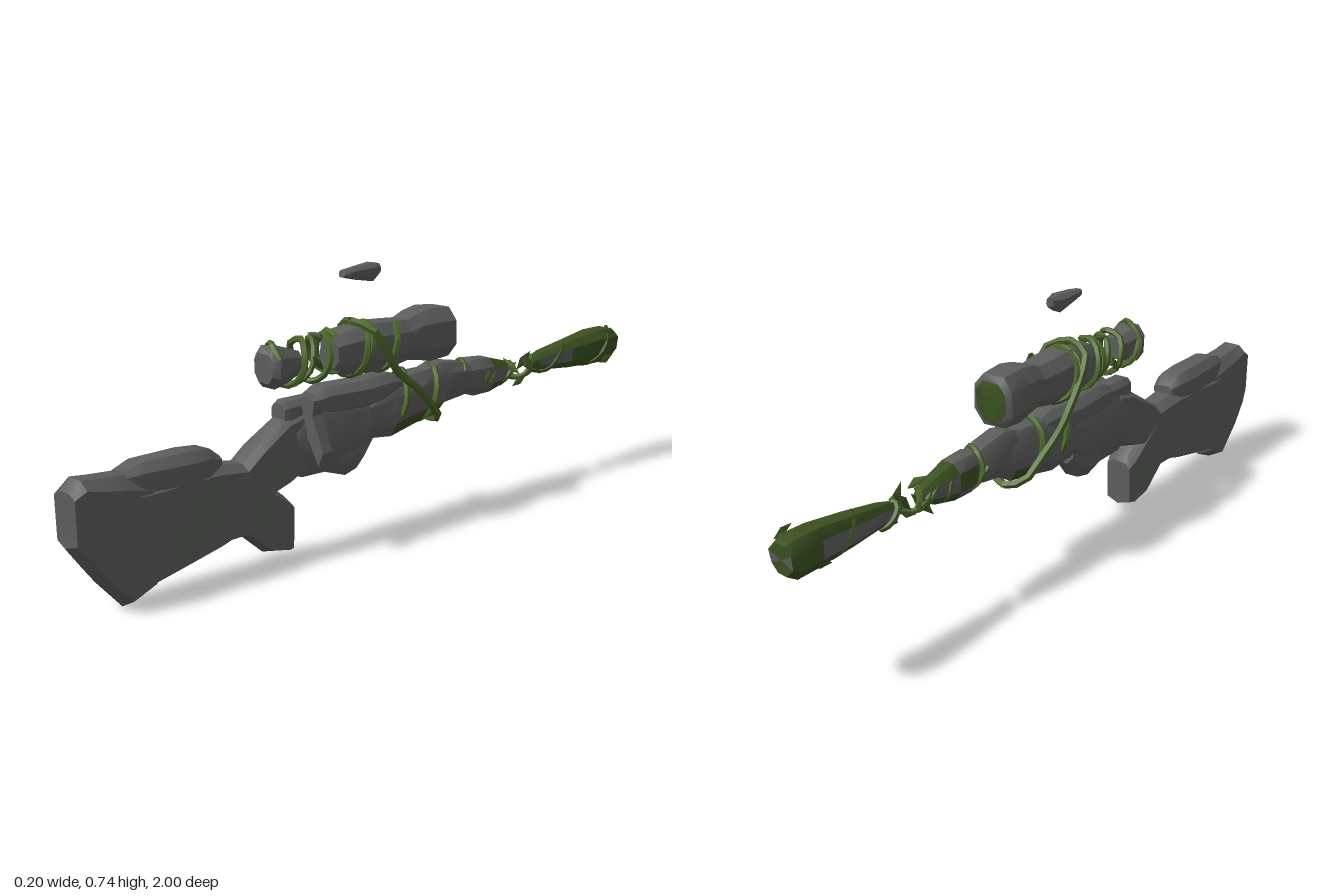
import * as THREE from 'three';
import { toCreasedNormals } from 'three/addons/utils/BufferGeometryUtils.js';

const CX = -0.013; // the weapon's own centre line

// cross-section outlines, counter-clockwise seen from the rear (+z)
const ROCK = [[0.5, -1], [1, -0.45], [1, 0.5], [0.55, 1], [-0.55, 1], [-1, 0.5], [-1, -0.45], [-0.5, -1]];
const SLAB = [[0, -1], [1, -0.84], [1, 0.8], [0.5, 1], [-0.5, 1], [-1, 0.8], [-1, -0.84]];

export function createModel() {
  const model = new THREE.Group();
  const stone = new THREE.MeshStandardMaterial({ color: 0x5c5e5c });
  const vine = new THREE.MeshStandardMaterial({ color: 0x4a6628 });
  const moss = new THREE.MeshStandardMaterial({ color: 0x3a5120 });
  stone.name = 'stone';
  vine.name = 'vine';
  moss.name = 'moss';

  let seed = 7;
  const rand = () => (seed = (seed * 16807) % 2147483647) / 2147483647;

  const add = (name, geo, mat) => {
    const mesh = new THREE.Mesh(geo, mat);
    mesh.name = name;
    model.add(mesh);
    return mesh;
  };

  // loft along z: sections are [z, bottom, top, halfWidth], from +z to -z.
  // mossy(section, side) picks faces overgrown with moss; section -1 is the muzzle-side cap.
  const loft = (name, sections, profile = ROCK, mossy = () => false, jitter = 0.004) => {
    const rings = sections.map(([z, y0, y1, w]) => profile.map(([px, py]) => [
      CX + px * w + (rand() - 0.5) * jitter,
      (y0 + y1) / 2 + py * (y1 - y0) / 2,
      z + (rand() - 0.5) * jitter * 2,
    ]));
    const parts = [[], []];
    const n = profile.length;
    const centre = ([z, y0, y1]) => [CX, (y0 + y1) / 2, z];
    const first = rings[0], last = rings[rings.length - 1];
    const c0 = centre(sections[0]), c1 = centre(sections[sections.length - 1]);
    for (let i = 0; i < n; i++) {
      const j = (i + 1) % n;
      parts[0].push(...c0, ...first[i], ...first[j]);
      parts[mossy(-1, i) ? 1 : 0].push(...c1, ...last[j], ...last[i]);
      for (let k = 0; k < rings.length - 1; k++) {
        const a = rings[k], b = rings[k + 1];
        parts[mossy(k, i) ? 1 : 0].push(...a[i], ...b[i], ...b[j], ...a[i], ...b[j], ...a[j]);
      }
    }
    const geo = new THREE.BufferGeometry();
    geo.setAttribute('position', new THREE.Float32BufferAttribute([...parts[0], ...parts[1]], 3));
    geo.addGroup(0, parts[0].length / 3, 0);
    geo.addGroup(parts[0].length / 3, parts[1].length / 3, 1);
    return add(name, toCreasedNormals(geo, 0.6), [stone, moss]);
  };

  // ---- stock and grip
  loft('buttEnd', [[0.995, 0.19, 0.325, 0.042], [0.965, 0.15, 0.35, 0.048], [0.92, 0.09, 0.345, 0.05],
    [0.85, 0.01, 0.34, 0.05], [0.78, 0.04, 0.32, 0.048]], SLAB);
  loft('stock', [[0.88, 0.07, 0.32, 0.046], [0.8, 0.04, 0.31, 0.049], [0.7, 0.065, 0.31, 0.05], [0.58, 0.09, 0.31, 0.048],
    [0.49, 0.12, 0.295, 0.046], [0.43, 0.19, 0.335, 0.044], [0.35, 0.21, 0.385, 0.042], [0.29, 0.24, 0.4, 0.04]], SLAB);
  loft('cheekRest', [[0.85, 0.29, 0.345, 0.03], [0.8, 0.27, 0.36, 0.045], [0.66, 0.255, 0.36, 0.05],
    [0.6, 0.27, 0.355, 0.044], [0.565, 0.3, 0.33, 0.03]]);
  loft('grip', [[0.56, 0.1, 0.29, 0.044], [0.49, 0.105, 0.28, 0.047], [0.42, 0.043, 0.23, 0.047],
    [0.36, 0.032, 0.185, 0.044], [0.34, 0.035, 0.165, 0.04]], SLAB);

  // ---- receiver
  loft('receiver', [[0.33, 0.24, 0.38, 0.04], [0.3, 0.22, 0.4, 0.048], [0.2, 0.22, 0.41, 0.05], [0.1, 0.24, 0.41, 0.05],
    [0.04, 0.29, 0.4, 0.044]]);
  loft('magazine', [[0.21, 0.215, 0.31, 0.036], [0.15, 0.195, 0.32, 0.042], [0.1, 0.205, 0.33, 0.042], [0.06, 0.26, 0.33, 0.036]]);
  loft('receiverTop', [[0.25, 0.37, 0.43, 0.036], [0.21, 0.36, 0.445, 0.046], [0.08, 0.36, 0.44, 0.05], [-0.02, 0.36, 0.445, 0.044],
    [-0.06, 0.37, 0.43, 0.036]]);

  // ---- bolt and its bent handle
  loft('bolt', [[0.355, 0.37, 0.42, 0.026], [0.34, 0.363, 0.427, 0.032], [0.26, 0.363, 0.427, 0.032], [0.2, 0.37, 0.42, 0.03]], ROCK, undefined, 0);
  const handle = new THREE.Shape([[-0.01, 0.41], [0.03, 0.345], [0.078, 0.262], [0.096, 0.3], [0.057, 0.39], [0.064, 0.43], [0.04, 0.437]]
    .map(([x, y]) => new THREE.Vector2(x, y)));
  const handleGeo = new THREE.ExtrudeGeometry(handle, { depth: 0.032, bevelEnabled: false });
  add('boltHandle', handleGeo.translate(0, 0, 0.27), stone);

  // ---- fore-end and barrel, mossy underneath and further along
  loft('foreEnd', [[0.11, 0.31, 0.37, 0.035], [0.07, 0.28, 0.4, 0.048], [-0.02, 0.27, 0.42, 0.052], [-0.12, 0.29, 0.43, 0.05],
    [-0.2, 0.3, 0.43, 0.045], [-0.24, 0.33, 0.41, 0.034]], ROCK, (k, i) => k > 1 && k < 4 && (i === 7 || i === 0 || (i === 6 && k === 3)));
  loft('barrelRear', [[-0.16, 0.33, 0.43, 0.036], [-0.22, 0.325, 0.445, 0.042], [-0.31, 0.335, 0.43, 0.04], [-0.36, 0.345, 0.41, 0.03]]);
  loft('barrelMiddle', [[-0.31, 0.35, 0.415, 0.03], [-0.35, 0.325, 0.43, 0.04], [-0.42, 0.325, 0.425, 0.038], [-0.49, 0.34, 0.405, 0.028],
    [-0.54, 0.36, 0.385, 0.012]], ROCK, (k, i) => k > 1 ? i % 4 !== 1 : k === 1 && i === 5);
  loft('muzzle', [[-0.6, 0.365, 0.385, 0.012], [-0.67, 0.35, 0.405, 0.026], [-0.78, 0.34, 0.42, 0.034], [-0.9, 0.335, 0.435, 0.04],
    [-0.97, 0.335, 0.435, 0.042], [-0.995, 0.35, 0.425, 0.034]], ROCK,
    (k, i) => !(k < 2 && (i === 5 || i === 1)) && !(k === 2 && i === 5));

  // ---- scope, eyepiece and the loose stone above them
  loft('scopeBody', [[0.18, 0.485, 0.565, 0.036], [0.15, 0.465, 0.58, 0.05], [0.06, 0.46, 0.59, 0.056], [-0.02, 0.46, 0.585, 0.054],
    [-0.09, 0.47, 0.58, 0.048]]);
  loft('scopeFront', [[-0.05, 0.475, 0.57, 0.044], [-0.12, 0.465, 0.595, 0.054], [-0.17, 0.455, 0.602, 0.06], [-0.235, 0.46, 0.597, 0.06],
    [-0.245, 0.475, 0.58, 0.048]], ROCK, (k) => k === -1);
  loft('eyepiece', [[0.4, 0.48, 0.555, 0.036], [0.385, 0.465, 0.572, 0.046], [0.34, 0.475, 0.565, 0.044], [0.3, 0.49, 0.55, 0.03]]);
  loft('floatingStone', [[0.13, 0.716, 0.735, 0.01], [0.1, 0.708, 0.738, 0.018], [0.03, 0.696, 0.745, 0.022], [0.005, 0.715, 0.74, 0.012]]);

  // ---- creepers: helices around the centre line, [z, y, rx, ry] at both ends
  const creeper = (name, from, to, turns, phase = 0, radius = 0.009, mat = vine) => {
    const pts = [];
    const count = Math.ceil(turns * 7) + 1;
    for (let i = 0; i <= count; i++) {
      const t = i / count, a = phase + t * turns * Math.PI * 2;
      const [z, y, rx, ry] = from.map((v, k) => THREE.MathUtils.lerp(v, to[k], t));
      pts.push(new THREE.Vector3(CX + Math.cos(a) * rx, y + Math.sin(a) * ry, z + (rand() - 0.5) * 0.015));
    }
    const geo = new THREE.TubeGeometry(new THREE.CatmullRomCurve3(pts), count * 2, radius, 5, false);
    mat.side = THREE.DoubleSide;
    add(name, toCreasedNormals(geo, 0.5), mat);
  };
  creeper('eyepieceVine', [0.39, 0.52, 0.052, 0.058], [0.16, 0.52, 0.052, 0.058], 2.6, 0.4);
  creeper('eyepieceVineInner', [0.36, 0.52, 0.05, 0.055], [0.14, 0.525, 0.045, 0.05], 1.5, 2.8, 0.008);
  creeper('scopeVine', [0.18, 0.52, 0.06, 0.064], [-0.02, 0.525, 0.068, 0.07], 2, 1);
  creeper('scopeVineCross', [0.14, 0.525, 0.064, 0.066], [0.0, 0.52, 0.068, 0.07], 1.2, 3.4, 0.008);
  creeper('foreEndVine', [0.02, 0.37, 0.062, 0.07], [-0.2, 0.365, 0.06, 0.075], 2, 2);
  creeper('barrelVine', [-0.3, 0.38, 0.046, 0.055], [-0.56, 0.365, 0.02, 0.02], 2.5, 0.5, 0.008);
  creeper('barrelVineCross', [-0.32, 0.38, 0.044, 0.05], [-0.6, 0.36, 0.016, 0.016], 1.5, 3, 0.007);
  creeper('neckVine', [-0.5, 0.365, 0.02, 0.02], [-0.68, 0.37, 0.028, 0.03], 1.5, 1.5, 0.008);
  creeper('muzzleVine', [-0.64, 0.375, 0.026, 0.03], [-0.97, 0.385, 0.044, 0.052], 1.6, 4, 0.007, moss);

  // slanted bands tying the scope to the fore-end, one on each flank
  for (const s of [-1, 1]) {
    const path = [[0.0, 0.598, 0.1], [0.06, 0.58, 0.08], [0.072, 0.52, 0.04], [0.07, 0.46, 0.0], [0.078, 0.41, -0.06],
      [0.068, 0.35, -0.13], [0.05, 0.3, -0.18], [0.0, 0.285, -0.2]];
    const curve = new THREE.CatmullRomCurve3(path.map(([x, y, z]) => new THREE.Vector3(CX + s * x, y, z)));
    add('tieVine', toCreasedNormals(new THREE.TubeGeometry(curve, 14, 0.011, 5, false), 0.5), vine);
  }

  // ---- leaves: thin pointed blades, [x, y, z, length, tilt, yaw]
  const leaves = [
    [0.02, 0.39, -0.5, 0.035, 0.9, 0.3], [-0.03, 0.36, -0.54, 0.04, 2.4, 0.8], [0.015, 0.385, -0.58, 0.035, 0.4, 1.4],
    [-0.02, 0.385, -0.6, 0.035, -0.7, 1.2], [0.0, 0.335, -0.56, 0.032, 2.0, 1.5], [0.01, 0.37, -0.63, 0.035, 1.2, 1.7],
    [0.025, 0.43, -0.95, 0.03, 1.2, 1.5], [-0.045, 0.41, -0.95, 0.03, 1.3, 1.6], [0.03, 0.35, -0.93, 0.035, 1.8, 1.6],
    [-0.04, 0.35, -0.9, 0.035, 1.9, 1.5], [0.0, 0.42, -0.36, 0.03, 1.2, 0.2], [0.045, 0.52, 0.27, 0.025, 0.7, 1.4],
    [-0.06, 0.5, 0.24, 0.028, -0.5, 1.5], [-0.02, 0.575, 0.22, 0.025, 1.3, 0.4], [-0.075, 0.36, -0.08, 0.03, 0.5, 1.5],
  ];
  leaves.forEach(([x, y, z, length, tilt, yaw], i) => {
    const geo = new THREE.OctahedronGeometry(1).scale(length * 0.4, length, 0.003);
    const leaf = add('leaf', geo, i % 2 ? moss : vine);
    leaf.position.set(x, y, z);
    leaf.rotation.set(0, yaw, tilt);
  });

  return model;
}
